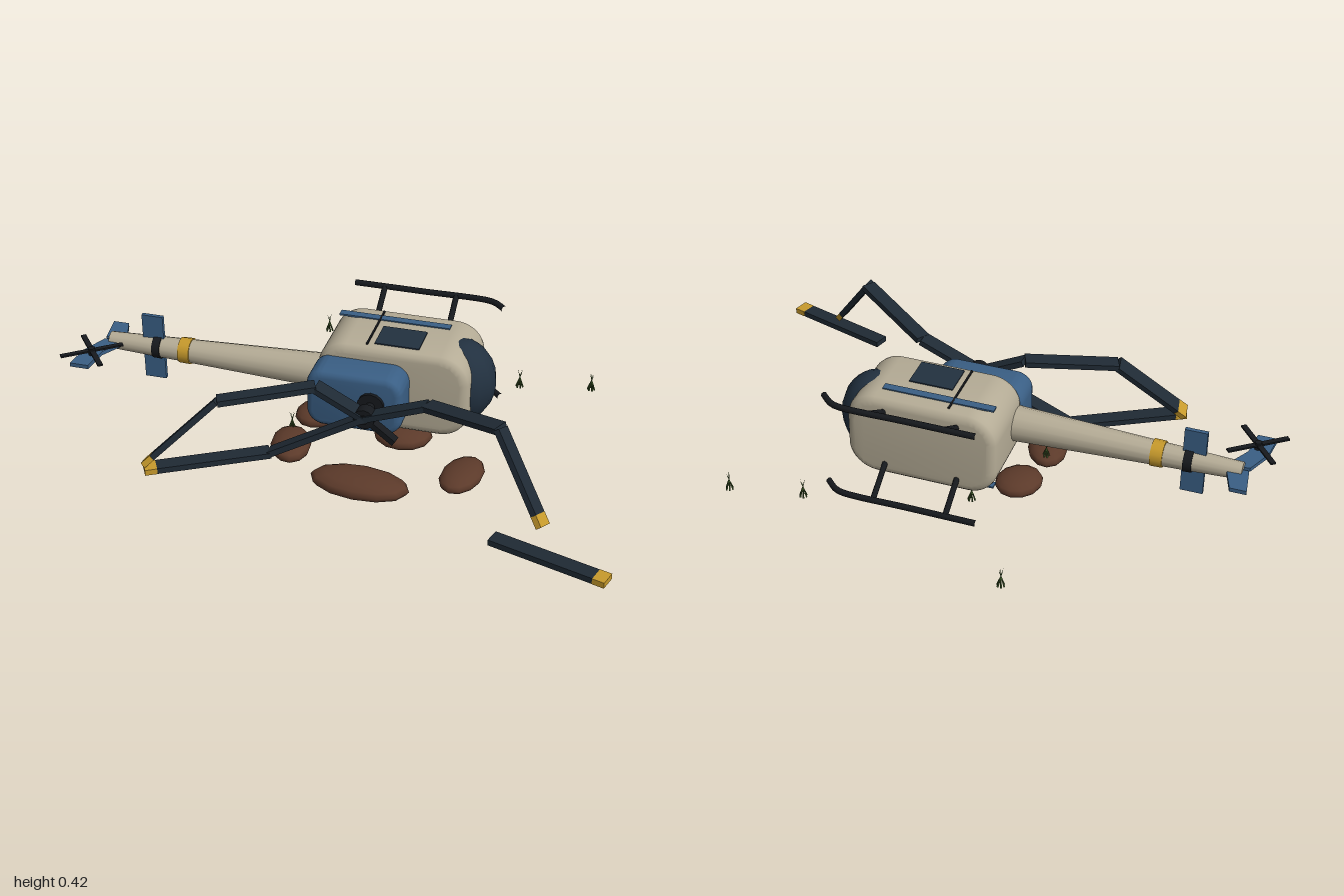
import * as THREE from 'three';
import { toCreasedNormals } from 'three/addons/utils/BufferGeometryUtils.js';

const mat = (name, color, extra = {}) => {
  const m = new THREE.MeshStandardMaterial({ color, ...extra });
  m.name = name;
  return m;
};
const V = (x, y, z) => new THREE.Vector3(x, y, z);

export function createModel() {
  const cream = mat('cream paint', 0xb5ac96);
  const blue = mat('blue paint', 0x3a5f85, { side: THREE.DoubleSide });
  const navy = mat('dark glass', 0x223140);
  const blade = mat('rotor grey', 0x1f2a34);
  const black = mat('black metal', 0x16191d);
  const yellow = mat('yellow paint', 0xc79a2c);
  const rockBrown = mat('rock brown', 0x5c3a2a);
  const green = mat('grass green', 0x3c5526);

  const model = new THREE.Group();
  model.name = 'crashedHelicopter';
  // The helicopter lies on its side: local x is forward, z its upward axis
  const heli = new THREE.Group();
  heli.name = 'helicopter';
  heli.position.set(0.08, 0.236, -0.118);
  heli.rotation.y = 0.14;
  model.add(heli);

  const add = (parent, name, geo, material, p = [0, 0, 0], r = [0, 0, 0]) => {
    const m = new THREE.Mesh(geo, material);
    m.name = name;
    m.position.set(...p);
    m.rotation.set(...r);
    parent.add(m);
    return m;
  };

  // Rounded slab in x/y with bevelled top and bottom, from z0 to z1
  const slab = (x0, x1, h, r, z0, z1, bevel) => {
    const a = x0 + bevel, b = x1 - bevel, t = h - bevel;
    const s = new THREE.Shape();
    s.moveTo(a + r, -t).lineTo(b - r, -t);
    s.absarc(b - r, -t + r, r, -Math.PI / 2, 0);
    s.absarc(b - r, t - r, r, 0, Math.PI / 2);
    s.absarc(a + r, t - r, r, Math.PI / 2, Math.PI);
    s.absarc(a + r, -t + r, r, Math.PI, Math.PI * 1.5);
    const g = new THREE.ExtrudeGeometry(s, {
      depth: z1 - z0 - 2 * bevel, bevelSize: bevel, bevelThickness: bevel, bevelSegments: 3, curveSegments: 6,
    });
    g.translate(0, 0, z0 + bevel);
    return toCreasedNormals(g, 0.6);
  };

  // Cylinder between two points
  const rod = (parent, name, a, b, r, material, sides = 8) => {
    const d = b.clone().sub(a);
    const m = add(parent, name, new THREE.CylinderGeometry(r, r, d.length(), sides), material);
    m.position.copy(a).add(b).multiplyScalar(0.5);
    m.quaternion.setFromUnitVectors(V(0, 1, 0), d.normalize());
    return m;
  };

  // Cabin and engine housing
  add(heli, 'cabin', slab(-0.257, 0.257, 0.152, 0.07, -0.138, 0.135, 0.03), cream);
  add(heli, 'engineHousing', slab(-0.262, 0.06, 0.104, 0.035, 0.11, 0.243, 0.022), blue);
  const nose = add(heli, 'noseGlass', new THREE.SphereGeometry(1, 16, 12), navy, [0.2, 0, 0]);
  nose.scale.set(0.122, 0.147, 0.116);

  // Side windows, stripes and door seams on both flanks
  for (const s of [1, -1]) {
    const y = s * 0.153;
    add(heli, 'sideWindow', new THREE.BoxGeometry(0.15, 0.006, 0.115), navy, [0.008, y, 0.045]);
    add(heli, 'sideStripe', new THREE.BoxGeometry(0.38, 0.006, 0.028), blue, [-0.041, y, -0.066]);
    add(heli, 'doorSeam', new THREE.BoxGeometry(0.006, 0.008, 0.22), black, [-0.09, y, 0]);
  }

  // Tail boom with bands
  const boomZ = 0.078;
  const boom = (name, x0, x1, r0, r1, material) =>
    add(heli, name, new THREE.CylinderGeometry(r1, r0, x0 - x1, 14), material,
      [(x0 + x1) / 2, 0.007, boomZ], [0, 0, Math.PI / 2]);
  boom('tailBoom', -0.22, -1.01, 0.061, 0.029, cream).material.flatShading = false;
  boom('tailBandYellow', -0.715, -0.755, 0.045, 0.044, yellow);
  boom('tailBandDark', -0.822, -0.85, 0.041, 0.04, black);
  add(heli, 'stabilizer', new THREE.BoxGeometry(0.075, 0.24, 0.014), blue, [-0.852, 0.006, boomZ]);

  // Tail fins, drawn as local (x, z) outlines with a thin depth along y
  const fin = (name, pts) => {
    const g = new THREE.ExtrudeGeometry(new THREE.Shape(pts.map(([x, z]) => new THREE.Vector2(x, z))),
      { depth: 0.014, bevelEnabled: false });
    add(heli, name, g, blue, [0, 0.014, 0], [Math.PI / 2, 0, 0]);
  };
  fin('upperFin', [[-1.03, 0.09], [-0.95, 0.08], [-1.005, 0.175], [-1.015, 0.272], [-1.08, 0.272], [-1.07, 0.18]]);
  fin('lowerFin', [[-1.03, 0.075], [-0.955, 0.075], [-0.99, -0.03], [-1.045, -0.03]]);

  // Tail rotor
  const tr = V(-1.03, 0.03, 0.2);
  rod(heli, 'tailRotorHub', V(tr.x, -0.005, tr.z), V(tr.x, 0.04, tr.z), 0.012, black);
  for (const a of [0.65, -0.9])
    add(heli, 'tailRotorBlade', new THREE.BoxGeometry(0.215, 0.006, 0.018), black, tr.toArray(), [0, a, 0]);

  // Landing skids
  for (const s of [1, -1]) {
    const path = new THREE.CatmullRomCurve3([
      V(-0.23, s * 0.173, -0.248), V(0, s * 0.173, -0.247), V(0.23, s * 0.173, -0.246),
      V(0.262, s * 0.173, -0.235), V(0.3, s * 0.173, -0.2)]);
    add(heli, 'skid', new THREE.TubeGeometry(path, 24, 0.0105, 8), black);
    for (const x of [-0.125, 0.125])
      rod(heli, 'skidStrut', V(x, s * 0.1, -0.13), V(x, s * 0.173, -0.247), 0.01, black);
  }

  // Main rotor mast and hub
  const hub = V(0.085, 0.243, 0.2);
  rod(heli, 'mast', V(-0.04, 0.007, 0.22), V(-0.04, 0.007, 0.34), 0.016, black, 12);
  rod(heli, 'mastCollar', V(-0.04, 0.007, 0.24), V(-0.04, 0.007, 0.255), 0.045, black, 14);
  rod(heli, 'rotorHub', V(-0.04, 0.007, 0.295), V(-0.04, 0.007, 0.335), 0.035, black, 14);

  // Flat plank between two points, its width lying as near to z as possible
  const plank = (parent, name, a, b, width, material) => {
    const dir = b.clone().sub(a), len = dir.length();
    dir.normalize();
    const n = V(0, 0, 1).cross(dir).normalize();
    const w = dir.clone().cross(n);
    const m = add(parent, name, new THREE.BoxGeometry(len, 0.02, width), material);
    m.position.copy(a).add(b).multiplyScalar(0.5);
    m.quaternion.setFromRotationMatrix(new THREE.Matrix4().makeBasis(dir, n, w));
  };
  // Bent blade with a yellow tip
  const bentBlade = (name, pts) => {
    const g = new THREE.Group();
    g.name = name;
    model.add(g);
    pts.forEach((p, i) => {
      if (!i) return;
      const q = pts[i - 1];
      if (i < pts.length - 1) return plank(g, 'bladeSegment', q, p, 0.052, blade);
      const cut = p.clone().lerp(q, 0.04 / p.distanceTo(q));
      plank(g, 'bladeSegment', q, cut, 0.052, blade);
      plank(g, 'bladeTip', cut, p, 0.054, yellow);
    });
  };
  bentBlade('bladeRight', [hub, V(0.29, 0.325, 0.18), V(0.575, 0.388, 0.3), V(0.76, 0.15, 0.41)]);
  bentBlade('bladeLowerLeft', [hub, V(-0.22, 0.075, 0.28), V(-0.55, 0.075, 0.53)]);
  bentBlade('bladeUpperLeft', [hub, V(-0.08, 0.328, 0.22), V(-0.35, 0.3, 0.385), V(-0.555, 0.085, 0.515)]);
  bentBlade('bladeBrokenOff', [V(0.605, 0.07, 0.425), V(0.992, 0.07, 0.485)]);
  plank(model, 'bladeStub', hub, V(0.19, 0.175, 0.2), 0.03, black);

  // Rocks: x, z, half sizes along x, y, z and turn
  [[-0.2, 0.165, 0.068, 0.036, 0.1, 0.4], [0.1, 0.28, 0.168, 0.04, 0.082, 0.08],
    [0.387, 0.107, 0.067, 0.033, 0.105, -0.08], [-0.195, -0.045, 0.075, 0.035, 0.085, -0.4],
    [0.12, -0.04, 0.1, 0.036, 0.085, 0.2]].forEach(([x, z, a, b, c, turn]) => {
    const g = new THREE.SphereGeometry(1, 12, 8);
    g.scale(a, b, c);
    add(model, 'rock', g, rockBrown, [x, 0.041, z], [0, turn, 0]);
  });

  // Grass tufts of thin leaning blades
  [[-0.385, -0.55], [0.385, -0.46], [0.62, -0.54], [-0.11, -0.22], [-0.225, 0.1]].forEach(([x, z], t) => {
    const tuft = new THREE.Group();
    tuft.name = 'grassTuft';
    tuft.position.set(x, 0.055, z);
    model.add(tuft);
    for (let i = 0; i < 6; i++) {
      const a = i * 1.05 + t, h = 0.062 + 0.006 * (i % 3);
      const g = new THREE.ConeGeometry(0.0035, h, 4);
      g.translate(0, h / 2, 0);
      add(tuft, 'grassBlade', g, green, [0.012 * Math.cos(a), 0, 0.012 * Math.sin(a)],
        [-0.3 * Math.sin(a), 0, 0.3 * Math.cos(a)]);
    }
  });

  return model;
}
